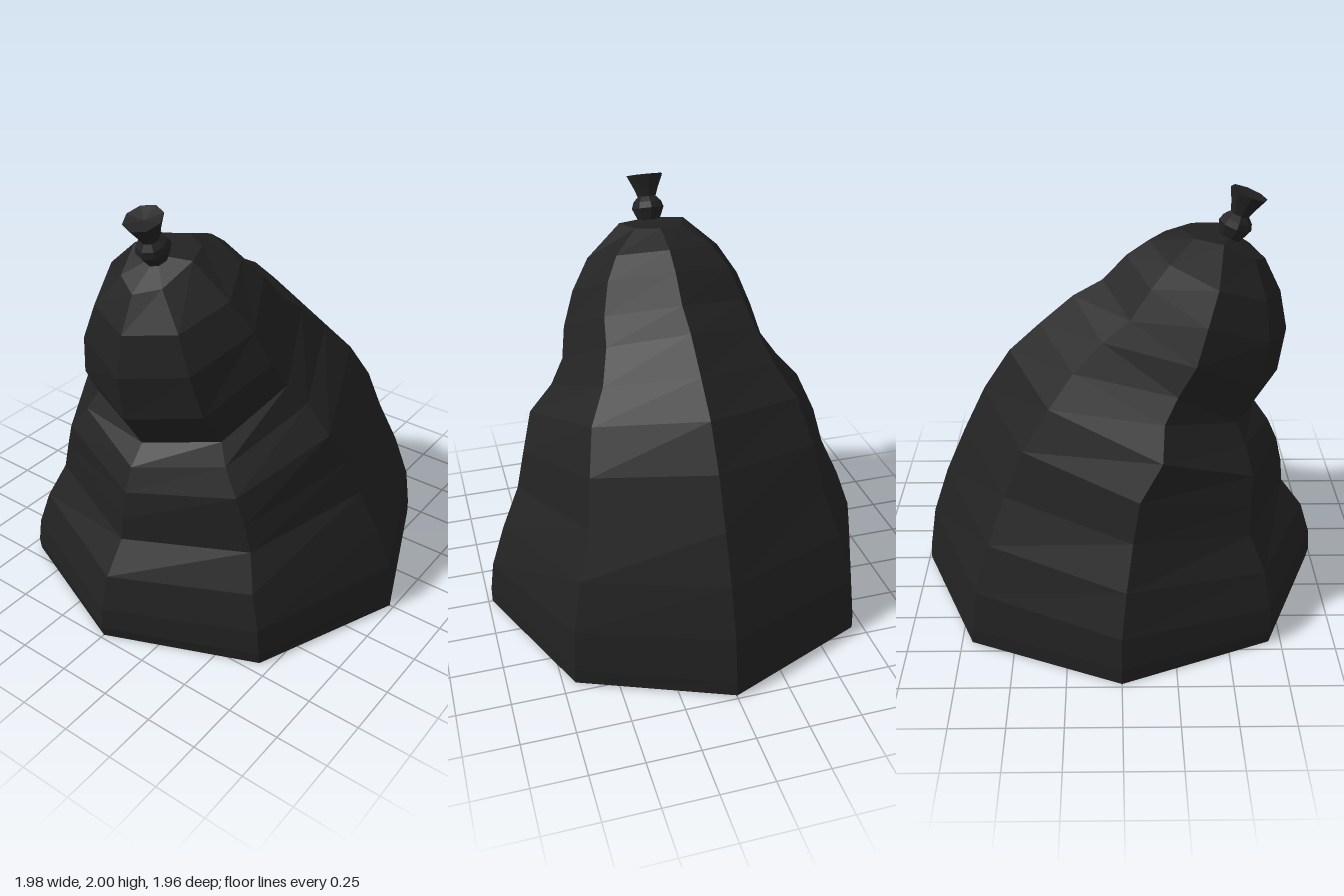
import * as THREE from 'three';

const SIDES = 8;
const material = new THREE.MeshStandardMaterial({ color: 0x222222, flatShading: true });

// Tilted rings of the sack: left x, y | middle x, y, half depth | right x, y
const RINGS = [
  [-0.98, 0.00, 0.00, 0.00, 0.98, 0.99, 0.01],
  [-0.99, 0.05, 0.00, 0.08, 0.98, 0.985, 0.08],
  [-0.98, 0.16, 0.00, 0.23, 0.96, 0.95, 0.30],
  [-0.93, 0.32, -0.02, 0.43, 0.89, 0.87, 0.54],
  [-0.82, 0.47, -0.05, 0.63, 0.80, 0.77, 0.77],
  [-0.81, 0.58, -0.08, 0.81, 0.755, 0.66, 1.00],
  [-0.78, 0.71, -0.18, 0.97, 0.695, 0.53, 1.20],
  [-0.73, 0.82, -0.19, 1.10, 0.58, 0.38, 1.34],
  [-0.65, 0.91, -0.25, 1.20, 0.51, 0.22, 1.48],
  [-0.76, 1.09, -0.33, 1.33, 0.48, 0.08, 1.56],
  [-0.79, 1.31, -0.38, 1.49, 0.42, -0.03, 1.68],
  [-0.75, 1.50, -0.43, 1.63, 0.33, -0.13, 1.75],
  [-0.67, 1.66, -0.46, 1.78, 0.16, -0.28, 1.80],
];

function sackGeometry() {
  const pos = [], idx = [];
  for (const [lx, ly, mx, my, depth, rx, ry] of RINGS) {
    for (let i = 0; i < SIDES; i++) {
      const a = (i / SIDES) * Math.PI * 2, c = Math.cos(a), t = Math.abs(c);
      const [ex, ey] = c > 0 ? [rx, ry] : [lx, ly];
      pos.push(mx + (ex - mx) * t, my + (ey - my) * t, depth * Math.sin(a));
    }
  }
  const bottom = pos.length / 3, top = bottom + 1, last = (RINGS.length - 1) * SIDES;
  pos.push(0, 0, 0, -0.5, 1.78, 0);
  for (let i = 0; i < SIDES; i++) {
    const j = (i + 1) % SIDES;
    for (let r = 0; r < last; r += SIDES) {
      const a = r + i, b = r + j, c = a + SIDES, d = b + SIDES;
      idx.push(a, c, b, b, c, d);
    }
    idx.push(bottom, i, j, top, last + j, last + i);
  }
  const geo = new THREE.BufferGeometry();
  geo.setAttribute('position', new THREE.Float32BufferAttribute(pos, 3));
  geo.setIndex(idx);
  geo.computeVertexNormals();
  return geo;
}

export function createModel() {
  const group = new THREE.Group();
  group.name = 'tiedSack';

  // Slumped body
  const sack = new THREE.Mesh(sackGeometry(), material);
  sack.name = 'sackBody';
  group.add(sack);

  // Knot and flared end, leaning to one side
  const profile = [
    [0, -0.03], [0.045, -0.01], [0.06, 0.02], [0.08, 0.065], [0.07, 0.095],
    [0.045, 0.12], [0.06, 0.16], [0.09, 0.225], [0, 0.215],
  ].map(([r, y]) => new THREE.Vector2(r, y));
  const knot = new THREE.Mesh(new THREE.LatheGeometry(profile, SIDES), material);
  knot.name = 'tiedKnot';
  knot.position.set(-0.5, 1.76, 0);
  knot.rotation.z = 0.365;
  group.add(knot);

  return group;
}
